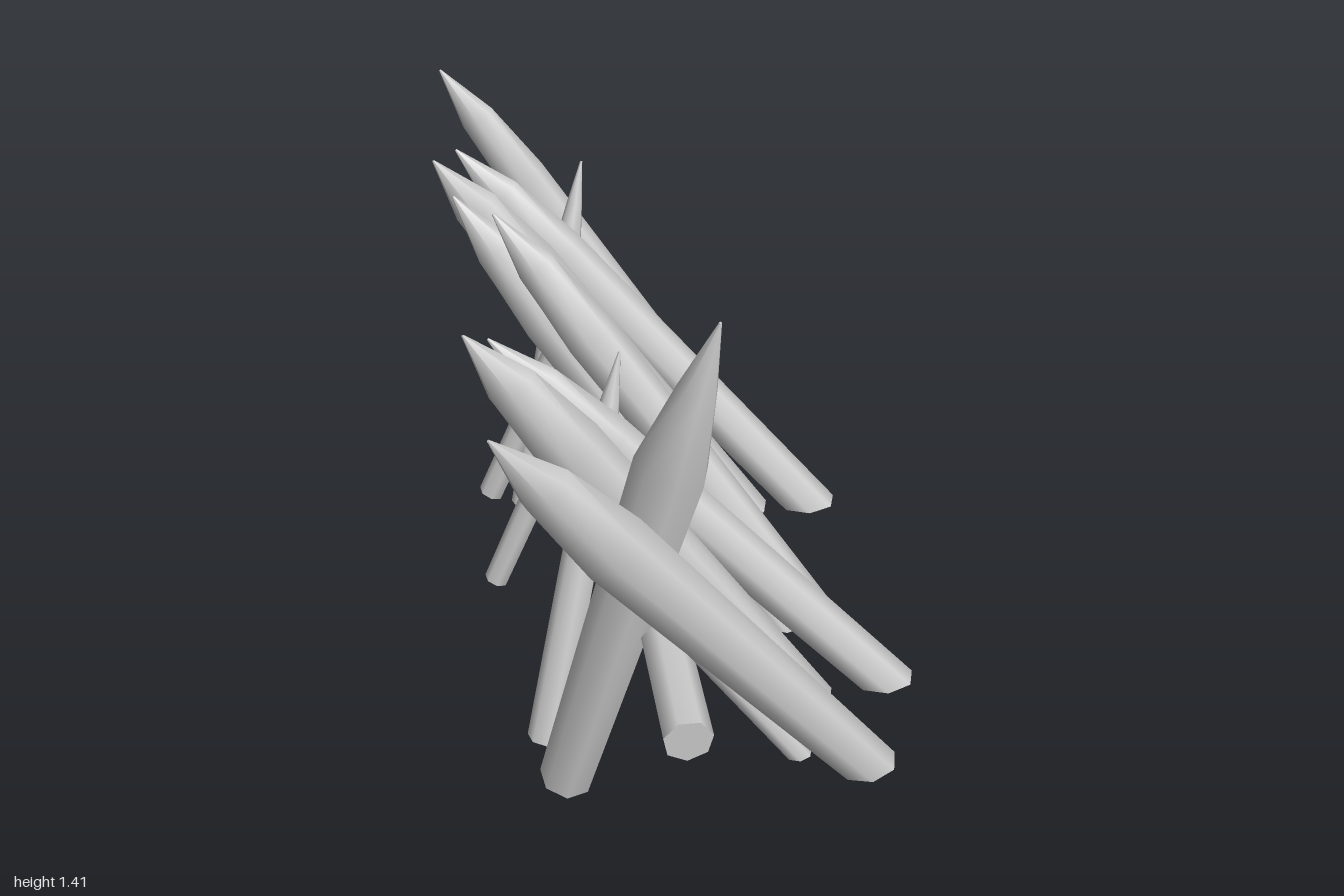
import * as THREE from 'three';
import { toCreasedNormals } from 'three/addons/utils/BufferGeometryUtils.js';

const SIDES = 7;

// Sharpened log from base to tip. Ground-cut logs have a level foot and a chiselled point.
function stake(name, base, tip, footR, shoulderR, chiselled) {
  const a = new THREE.Vector3(...base), b = new THREE.Vector3(...tip);
  const dir = b.clone().sub(a), length = dir.length();
  dir.normalize();
  const side = new THREE.Vector3(0, 0, 1).addScaledVector(dir, -dir.z).normalize();
  const out = new THREE.Vector3().crossVectors(dir, side);

  // rings: position along the log, radius in the leaning plane, radius across it
  const rings = [
    [0, footR, footR],
    [0.73, shoulderR, shoulderR],
    [0.88, shoulderR * (chiselled ? 0.75 : 0.52), shoulderR * 0.52],
    [1, 0.003, 0.003],
  ];
  const geo = new THREE.CylinderGeometry(1, 1, 3, SIDES, 3);
  const pos = geo.attributes.position, p = new THREE.Vector3();
  for (let i = 0; i < pos.count; i++) {
    const k = Math.round(pos.getY(i) + 1.5);
    const [t, rOut, rSide] = rings[k];
    p.copy(a).addScaledVector(dir, t * length)
      .addScaledVector(out, pos.getX(i) * rOut)
      .addScaledVector(side, pos.getZ(i) * rSide);
    if (k === 0 && chiselled) p.addScaledVector(dir, (0.85 * (a.y - p.y)) / dir.y);
    pos.setXYZ(i, p.x, p.y, p.z);
  }
  const mesh = new THREE.Mesh(toCreasedNormals(geo, 1.1),
    new THREE.MeshStandardMaterial({ color: 0xcccccc }));
  mesh.name = name;
  return mesh;
}

export function createModel() {
  const model = new THREE.Group();
  model.name = 'stakeBarricade';

  // Large slanted stakes: base, tip, foot radius, shoulder radius
  const front = [
    [[0.37, 0.17, 0.68], [-0.46, 1.35, 0.97], 0.062, 0.078],
    [[0.27, 0.165, 0.43], [-0.50, 1.30, 0.51], 0.058, 0.078],
    [[0.48, 0.14, 0.36], [-0.45, 1.15, 0.28], 0.06, 0.066],
    [[0.35, 0.21, 0.24], [-0.42, 1.29, -0.04], 0.055, 0.066],
    [[0.26, 0.18, 0.15], [-0.51, 1.27, -0.18], 0.06, 0.07],
    [[0.22, 0.21, -0.30], [-0.55, 1.35, -0.21], 0.06, 0.077],
    [[0.40, 0.21, -0.31], [-0.50, 1.23, -0.52], 0.063, 0.07],
    [[0.22, 0.165, -0.74], [-0.53, 1.32, -0.82], 0.06, 0.064],
  ];
  front.forEach(([a, b, r0, r1], i) =>
    model.add(stake(`slantedStake${i + 1}`, a, b, r0, r1, true)));

  // Thin slanted stake
  model.add(stake('thinSlantedStake', [0.2, 0.24, 0.70], [-0.27, 0.96, 0.75], 0.028, 0.03, true));

  // Props leaning the other way
  model.add(stake('tallProp', [-0.33, 0.03, 0.50], [0, 1.42, 0.72], 0.066, 0.082, false));
  const props = [
    [[-0.37, 0.05, 0.38], [-0.15, 1.01, 0.14], 0.048, 0.045],
    [[-0.47, 0.14, -0.15], [-0.14, 0.92, -0.15], 0.032, 0.037],
    [[-0.37, 0.12, -0.51], [-0.17, 1.07, -0.75], 0.045, 0.042],
    [[-0.47, 0.14, -0.55], [-0.15, 0.87, -0.53], 0.035, 0.038],
  ];
  props.forEach(([a, b, r0, r1], i) =>
    model.add(stake(`prop${i + 1}`, a, b, r0, r1, false)));

  // Crossbar joining the stakes
  const bar = new THREE.CylinderGeometry(0.055, 0.055, 1.965, SIDES);
  const rail = new THREE.Mesh(toCreasedNormals(bar, 1.1),
    new THREE.MeshStandardMaterial({ color: 0xcccccc }));
  rail.name = 'crossbar';
  rail.position.set(-0.13, 0.56, -0.017);
  rail.quaternion.setFromUnitVectors(new THREE.Vector3(0, 1, 0),
    new THREE.Vector3(0.08, 0, 1.96).normalize());
  model.add(rail);
  return model;
}
